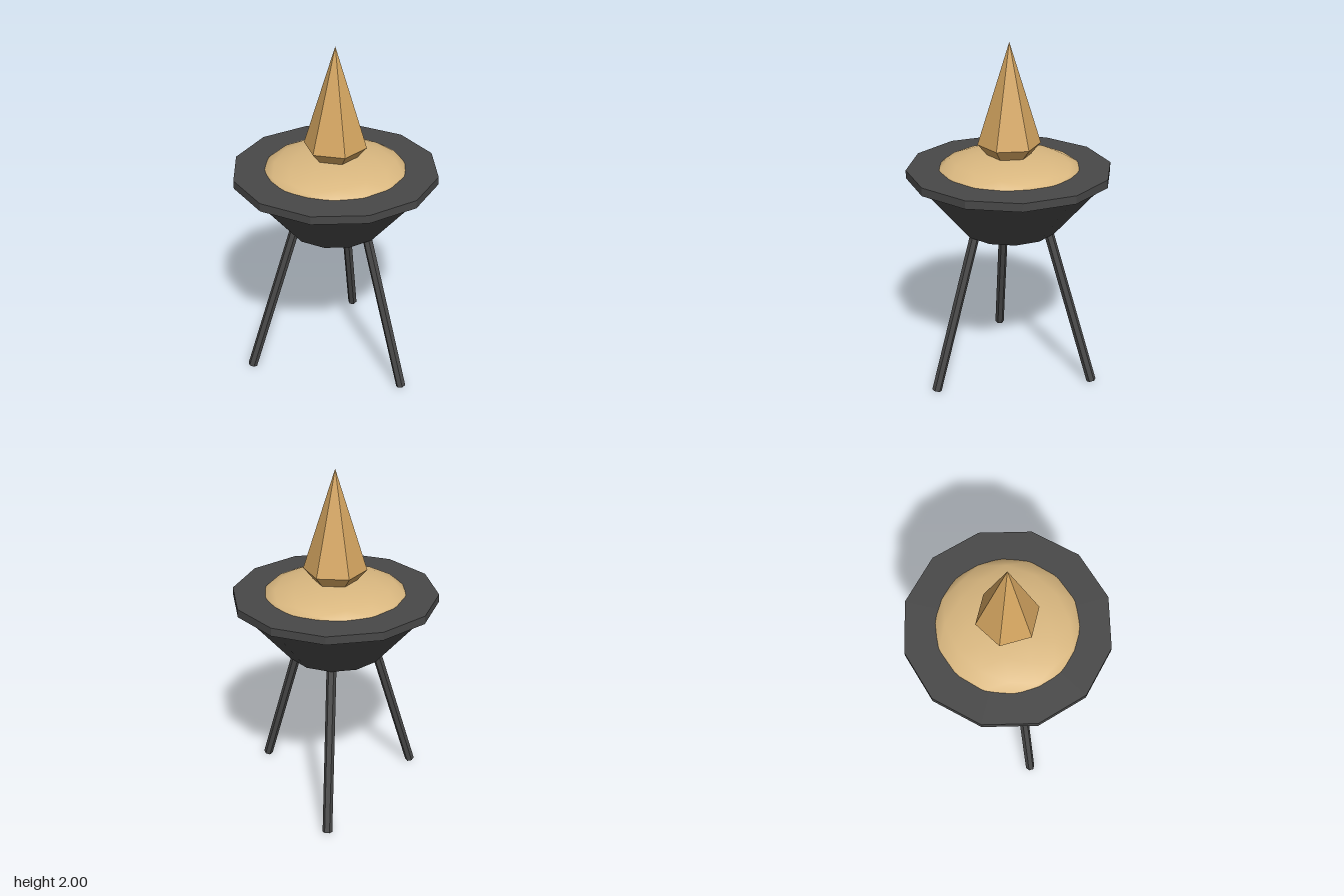
import * as THREE from 'three';

export function createModel() {
  const model = new THREE.Group();
  const paint = (name, color, flatShading = false) => {
    const m = new THREE.MeshStandardMaterial({ color, flatShading });
    m.name = name;
    return m;
  };
  const iron = paint('dark iron', 0x484848);
  const ironFlat = paint('dark iron faceted', 0x484848, true);
  const embers = paint('pale amber', 0xdab880);
  const flameColor = paint('amber', 0xd4a560, true);

  const add = (name, geometry, material, y = 0) => {
    const mesh = new THREE.Mesh(geometry, material);
    mesh.name = name;
    mesh.position.y = y;
    model.add(mesh);
    return mesh;
  };

  // Tapered bowl with a flat rim plate
  add('bowl', new THREE.CylinderGeometry(0.555, 0.28, 0.325, 12), iron, 1.0825);
  add('rim', new THREE.CylinderGeometry(0.586, 0.586, 0.047, 12), ironFlat, 1.2665);

  // Flattened mound of embers
  add('embers', new THREE.IcosahedronGeometry(0.42, 2), embers, 1.26).scale.y = 0.262;

  // Six-sided flame: tall point above, short taper below
  add('flame', new THREE.ConeGeometry(0.18, 0.575, 6, 1, true), flameColor, 1.7125);
  add('flameBase', new THREE.CylinderGeometry(0.18, 0.09, 0.105, 6), flameColor, 1.3725);

  // Three splayed legs
  const up = new THREE.Vector3(0, 1, 0);
  for (let i = 0; i < 3; i++) {
    const a = (i * Math.PI * 2) / 3;
    const at = (r, y) => new THREE.Vector3(r * Math.cos(a), y, r * Math.sin(a));
    const foot = at(0.532, 0.009);
    const top = at(0.23, 0.97);
    const axis = top.clone().sub(foot);
    const leg = add('leg', new THREE.CylinderGeometry(0.028, 0.028, axis.length(), 6), ironFlat);
    leg.position.copy(foot).add(top).multiplyScalar(0.5);
    // Turn each leg outward, then tilt its head toward the centre
    leg.quaternion.setFromUnitVectors(up, axis.normalize());
  }
  return model;
}
